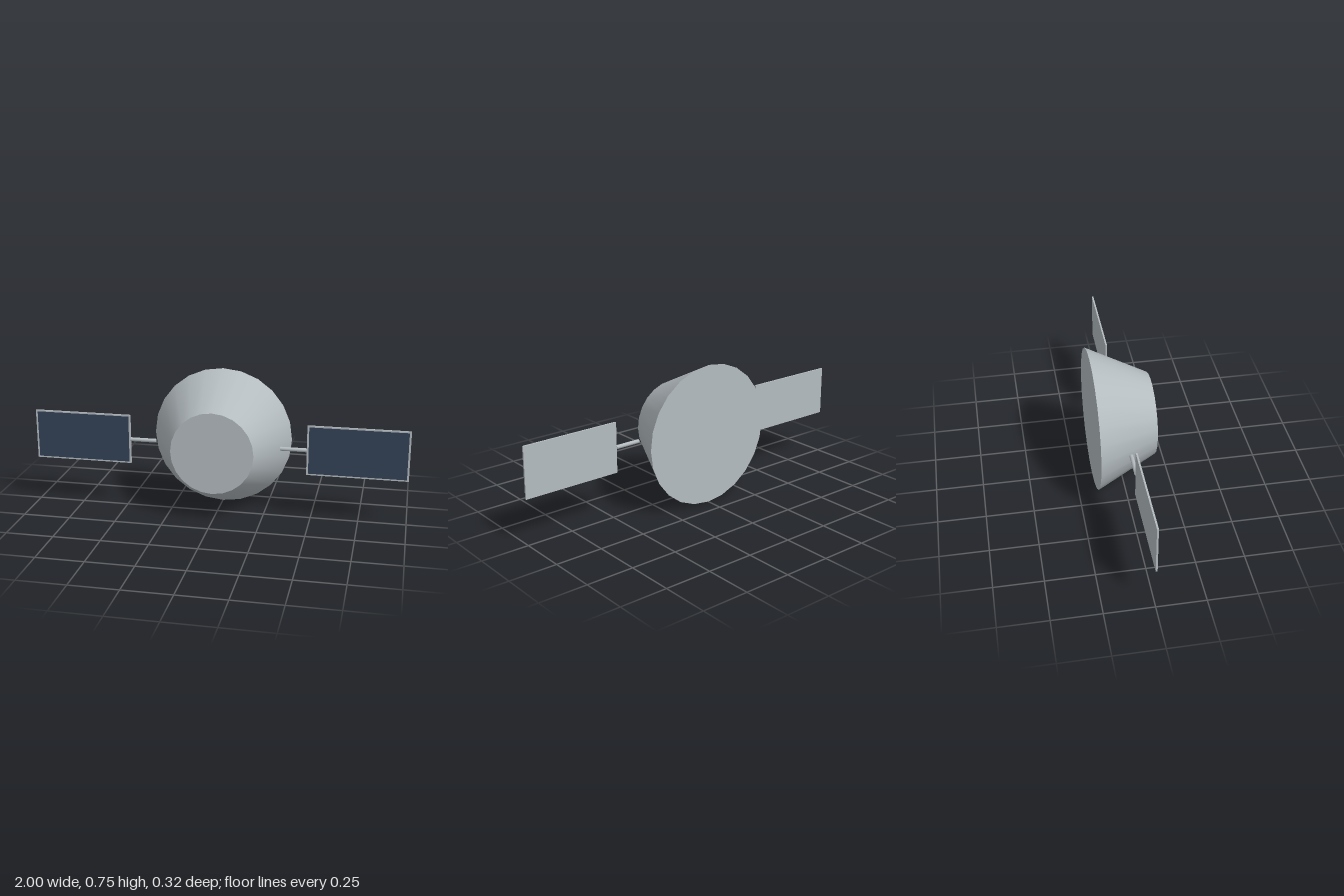
import * as THREE from 'three';

const CENTRE_Y = 0.378;

export function createModel() {
  const model = new THREE.Group();
  model.name = 'satellite';

  const hullGrey = new THREE.MeshStandardMaterial({ color: 0xb4bcc0 });
  hullGrey.name = 'hull grey';
  const cellBlue = new THREE.MeshStandardMaterial({ color: 0x334459 });
  cellBlue.name = 'solar cell blue';

  const add = (parent, name, geometry, material, x = 0, y = 0, z = 0) => {
    const mesh = new THREE.Mesh(geometry, material);
    mesh.name = name;
    mesh.position.set(x, y, z);
    parent.add(mesh);
    return mesh;
  };

  // Tapered body, narrow end to the front
  const body = new THREE.CylinderGeometry(0.218, 0.375, 0.316, 24).rotateX(Math.PI / 2);
  add(model, 'body', body, hullGrey, 0, CENTRE_Y, 0);

  // One wing per side: strut, panel and its thin cell face
  const strut = new THREE.CylinderGeometry(0.0105, 0.0105, 0.139, 10).rotateZ(Math.PI / 2);
  const panel = new THREE.BoxGeometry(0.528, 0.269, 0.009);
  const cells = new THREE.BoxGeometry(0.508, 0.253, 0.002);
  for (const [side, name] of [[1, 'left'], [-1, 'right']]) {
    const wing = new THREE.Group();
    wing.name = `${name}Wing`;
    wing.position.y = CENTRE_Y;
    add(wing, `${name}Strut`, strut, hullGrey, side * 0.4025);
    add(wing, `${name}Panel`, panel, hullGrey, side * 0.736, 0, -0.0005);
    add(wing, `${name}SolarCells`, cells, cellBlue, side * 0.736, 0, 0.004);
    model.add(wing);
  }

  return model;
}
